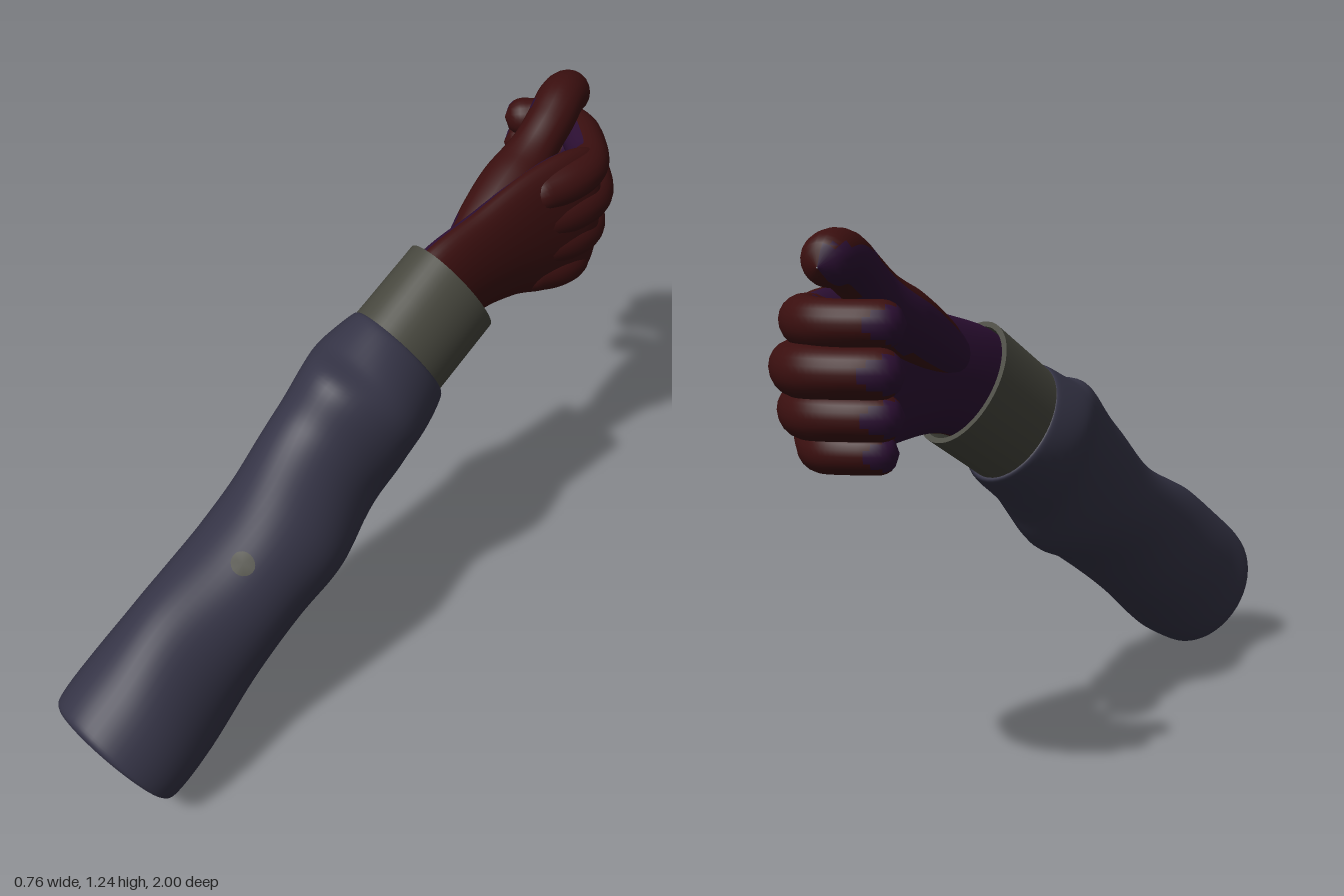
import * as THREE from 'three';
import { mergeVertices } from 'three/addons/utils/BufferGeometryUtils.js';

const mat = (name, color) => Object.assign(new THREE.MeshStandardMaterial({ color }), { name });

// Returns a surface function (u in 0..1 along the rings, a = angle).
// Each ring is [x, y, z, half width, half height, tilt].
function ringSurface(rings, wrinkle = 0) {
  const columns = rings[0].map((_, k) =>
    new THREE.SplineCurve(rings.map((r, i) => new THREE.Vector2(i, r[k]))));
  return (u, a, grow = 1) => {
    const [x, y, z, rx, rv, t] = columns.map((c) => c.getPoint(u).y);
    const fade = Math.sin(Math.PI * u);
    const s = grow * (1 + wrinkle * fade * Math.sin(2 * a + 17 * u) + wrinkle * 0.6 * fade * Math.sin(3 * a - 31 * u));
    const v = rv * s * Math.sin(a);
    return [x + rx * s * Math.cos(a), y + v * Math.cos(t), z + v * Math.sin(t)];
  };
}

// Skins a ring surface and closes both ends with flat caps
function loft(surface, steps, sides, caps = true) {
  const pos = [], index = [];
  const ring = (u) => {
    const first = pos.length / 3;
    for (let j = 0; j < sides; j++) pos.push(...surface(u, (j / sides) * Math.PI * 2));
    return first;
  };
  for (let i = 0; i <= steps; i++) ring(i / steps);
  for (let i = 0; i < steps; i++) {
    for (let j = 0; j < sides; j++) {
      const k = (j + 1) % sides, p = i * sides, q = p + sides;
      index.push(p + j, q + j, p + k, p + k, q + j, q + k);
    }
  }
  if (caps) {
    for (const u of [0, 1]) {
      const first = ring(u), centre = pos.length / 3;
      pos.push(...surface(u, 0, 0));
      for (let j = 0; j < sides; j++) {
        const p = first + j, q = first + (j + 1) % sides;
        if (u === 0) index.push(centre, p, q); else index.push(centre, q, p);
      }
    }
  }
  return build(pos, index);
}

function build(pos, index) {
  const g = new THREE.BufferGeometry();
  g.setAttribute('position', new THREE.Float32BufferAttribute(pos, 3));
  g.setIndex(index);
  g.computeVertexNormals();
  return g;
}

// Rounded finger swept along a curve; radii are spread evenly along it
function finger(points, radii) {
  const curve = new THREE.CatmullRomCurve3(points.map((p) => new THREE.Vector3(...p)));
  const n = 56, sides = 20, length = curve.getLength();
  let g = new THREE.TubeGeometry(curve, n, 1, sides, false);
  const spline = new THREE.SplineCurve(radii.map((r, i) => new THREE.Vector2(i, r)));
  const p = new THREE.Vector3(), pos = g.attributes.position;
  for (let i = 0; i <= n; i++) {
    const u = i / n, centre = curve.getPointAt(u);
    let r = spline.getPoint(u).y;
    const d = Math.min(1, (Math.min(u, 1 - u) * length) / r);
    r *= Math.max(0.03, Math.sqrt(1 - (1 - d) ** 2));
    for (let j = 0; j <= sides; j++) {
      const k = i * (sides + 1) + j;
      p.fromBufferAttribute(pos, k).sub(centre).multiplyScalar(r).add(centre);
      pos.setXYZ(k, p.x, p.y, p.z);
    }
  }
  g.deleteAttribute('normal');
  g.deleteAttribute('uv');
  g = mergeVertices(g, 1e-5);
  g.computeVertexNormals();
  return g;
}

// Sorts faces into two material groups by centre and face normal
function twoTone(g, isPalmSide) {
  const src = g.index.array, back = [], palm = [];
  const tri = new THREE.Triangle(), c = new THREE.Vector3(), n = new THREE.Vector3();
  for (let i = 0; i < src.length; i += 3) {
    tri.setFromAttributeAndIndices(g.attributes.position, src[i], src[i + 1], src[i + 2]);
    tri.getMidpoint(c);
    tri.getNormal(n);
    (isPalmSide(c, n) ? palm : back).push(src[i], src[i + 1], src[i + 2]);
  }
  g.setIndex([...back, ...palm]);
  g.addGroup(0, back.length, 0);
  g.addGroup(back.length, palm.length, 1);
  return g;
}

export function createModel() {
  const model = new THREE.Group();
  model.name = 'arm';
  const cloth = mat('slate cloth', 0x353446);
  const olive = mat('olive cuff', 0x47473e);
  const red = mat('dark red skin', 0x3a0f0f);
  const purple = mat('purple palm', 0x2c0f33);
  const add = (name, geometry, material, parent = model) => {
    const mesh = new THREE.Mesh(geometry, material);
    mesh.name = name;
    parent.add(mesh);
  };

  // Baggy sleeve from the open end to the rolled edge at the cuff
  const T = 0.56;
  const sleeve = ringSurface([
    [0.207, 0.16, 0.905, 0.155, 0.175, T],
    [0.205, 0.172, 0.885, 0.17, 0.192, T],
    [0.195, 0.23, 0.785, 0.167, 0.2, T],
    [0.165, 0.32, 0.63, 0.156, 0.197, T],
    [0.14, 0.42, 0.445, 0.16, 0.18, T],
    [0.115, 0.5, 0.3, 0.163, 0.18, T],
    [0.07, 0.585, 0.15, 0.142, 0.198, T],
    [0.065, 0.675, 0.06, 0.158, 0.2, T],
    [0.05, 0.715, -0.015, 0.168, 0.182, T],
    [0.035, 0.76, -0.105, 0.14, 0.17, T],
    [0.033, 0.768, -0.118, 0.125, 0.155, T],
  ], 0.02);
  add('sleeve', loft(sleeve, 90, 48), cloth);

  // Round button lying on the sleeve
  const button = [...sleeve(0.405, 1.0, 1.02)], fan = [];
  for (let i = 0; i < 20; i++) {
    const a = (i / 20) * Math.PI * 2;
    button.push(...sleeve(0.405 + 0.015 * Math.cos(a), 1.0 + 0.18 * Math.sin(a), 1.02));
    fan.push(0, i + 1, ((i + 1) % 20) + 1);
  }
  add('sleeveButton', build(button, fan), olive);

  // Cuff: outer wall, rim and inner wall as straight bands
  const cuff = new THREE.Group();
  cuff.name = 'cuff';
  model.add(cuff);
  const start = [0.034, 0.755, -0.09, 0.13, 0.16, T], end = [0.015, 0.88, -0.305, 0.122, 0.166, T];
  const inner = (r) => [r[0], r[1], r[2], r[3] - 0.014, r[4] - 0.014, T];
  const bands = { outerWall: [start, end], rim: [end, inner(end)], innerWall: [inner(end), inner(start)] };
  for (const [name, pair] of Object.entries(bands)) {
    add(name, loft(ringSurface(pair), 4, 48, false), olive, cuff);
  }

  // Hand: palm, four curled fingers and a raised thumb
  const hand = new THREE.Group();
  hand.name = 'hand';
  model.add(hand);
  const skin = [red, purple];
  const palm = ringSurface([
    [0.01, 0.81, -0.16, 0.07, 0.135, T],
    [0.005, 0.885, -0.31, 0.066, 0.143, 0.53],
    [0, 0.905, -0.46, 0.064, 0.16, 0.4],
    [-0.004, 0.913, -0.6, 0.068, 0.192, 0.18],
    [0, 0.915, -0.71, 0.064, 0.206, 0.04],
    [0.002, 0.915, -0.79, 0.052, 0.19, 0],
    [-0.01, 0.915, -0.83, 0.025, 0.15, 0],
  ]);
  add('palm', twoTone(loft(palm, 48, 48), (c, n) => n.x < -0.35), skin, hand);

  // name, height, knuckle z, reach, radius
  const fingers = [
    ['indexFinger', 1.052, -0.775, 0.97, 0.054],
    ['middleFinger', 0.955, -0.8, 1.04, 0.056],
    ['ringFinger', 0.863, -0.785, 0.98, 0.053],
    ['littleFinger', 0.778, -0.745, 0.78, 0.048],
  ];
  const bend = [[0, 0], [-0.09, -0.09], [-0.195, -0.142], [-0.3, -0.1], [-0.355, -0.035]];
  for (const [name, y, z, k, r] of fingers) {
    const base = [0.005, 0.915 + (y - 0.915) * 0.85, -0.56];
    const path = [base, ...bend.map(([dx, dz]) => [0.007 + dx * k, y, z + dz * k])];
    const g = finger(path, [r * 0.9, r * 1.08, r, r * 1.03, r * 0.95, r * 0.95]);
    add(name, twoTone(g, (c, n) =>
      (c.x > -0.2 && c.x < -0.03 && n.z > 0.2) || (c.x < -0.22 && n.x < -0.6)), skin, hand);
  }

  const thumb = finger([
    [-0.01, 0.93, -0.34], [-0.04, 0.99, -0.47], [-0.075, 1.06, -0.61],
    [-0.105, 1.15, -0.74], [-0.14, 1.185, -0.82], [-0.18, 1.165, -0.91],
  ], [0.05, 0.072, 0.08, 0.062, 0.063, 0.058]);
  add('thumb', twoTone(thumb, (c, n) => n.x < -0.45 && n.y < 0.5), skin, hand);

  return model;
}
